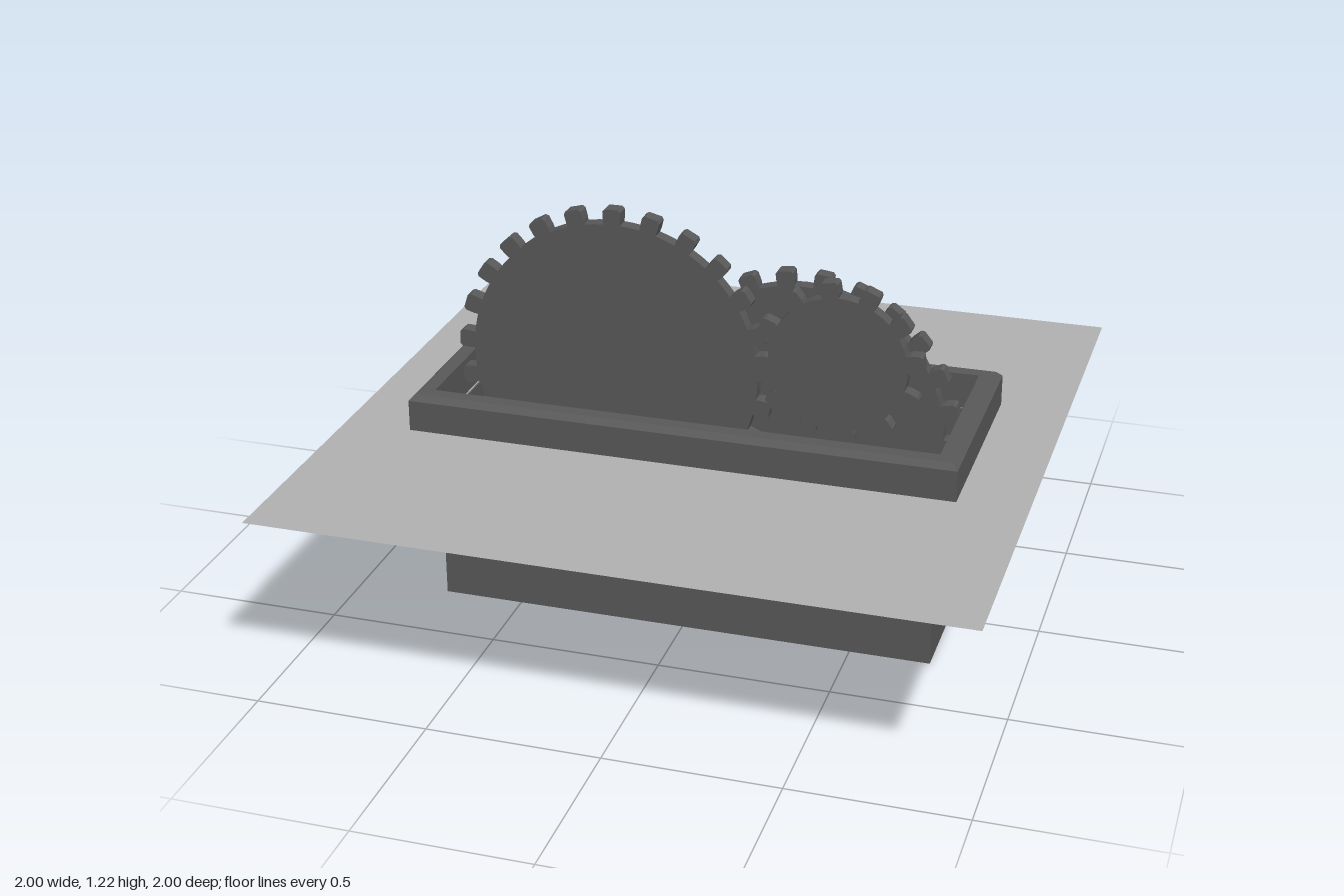
import * as THREE from 'three';

const dark = new THREE.MeshStandardMaterial({ color: 0x595959, side: THREE.DoubleSide });
dark.name = 'dark grey';
const light = new THREE.MeshStandardMaterial({ color: 0xb2b2b2, side: THREE.DoubleSide });
light.name = 'light grey';

const GROUND = 0.553;

function rect(target, w, d) {
  target.moveTo(-w, -d);
  target.lineTo(w, -d);
  target.lineTo(w, d);
  target.lineTo(-w, d);
  target.closePath();
  return target;
}

function add(group, name, geometry, material) {
  const mesh = new THREE.Mesh(geometry, material);
  mesh.name = name;
  group.add(mesh);
  return mesh;
}

// Gear disc with blocky teeth; phase is the angle of one tooth in degrees
function gearGeometry(root, tip, teeth, phase) {
  const shape = new THREE.Shape();
  const step = (Math.PI * 2) / teeth;
  const points = [];
  for (let i = 0; i < teeth; i++) {
    const a = THREE.MathUtils.degToRad(phase) + i * step;
    const half = 0.024;
    const profile = [
      [root, -half / root], [root + 0.012, -half * 1.05 / root], [tip - 0.007, -half * 1.1 / tip],
      [tip, -half * 0.8 / tip], [tip, half * 0.8 / tip], [tip - 0.007, half * 1.1 / tip],
      [root + 0.012, half * 1.05 / root], [root, half / root],
      [root, step / 2],
    ];
    for (const [r, t] of profile) points.push(new THREE.Vector2(r * Math.cos(a + t), r * Math.sin(a + t)));
  }
  shape.setFromPoints(points);
  const geo = new THREE.ExtrudeGeometry(shape, { depth: 0.042, bevelEnabled: false });
  geo.translate(0, 0, -0.021);
  return geo;
}

// Rectangular frame swept from its cross-section, with a chamfered outer top edge
function rimGeometry() {
  const profile = [ // half width, half depth, height
    [0.74, 0.275, GROUND - 0.002], [0.8, 0.333, GROUND - 0.002], [0.8, 0.333, 0.645],
    [0.783, 0.316, 0.662], [0.74, 0.275, 0.662], [0.74, 0.275, GROUND - 0.002],
  ];
  const corners = [[1, 1], [1, -1], [-1, -1], [-1, 1]];
  const pos = [];
  for (let c = 0; c < 4; c++) {
    for (let i = 0; i < profile.length - 1; i++) {
      const at = (k, p) => [corners[k % 4][0] * p[0], p[2], corners[k % 4][1] * p[1]];
      const a = at(c, profile[i]), b = at(c + 1, profile[i]);
      const d = at(c, profile[i + 1]), e = at(c + 1, profile[i + 1]);
      pos.push(...a, ...b, ...e, ...a, ...e, ...d);
    }
  }
  const geo = new THREE.BufferGeometry();
  geo.setAttribute('position', new THREE.Float32BufferAttribute(pos, 3));
  geo.computeVertexNormals();
  return geo;
}

export function createModel() {
  const model = new THREE.Group();
  model.name = 'gearPit';

  // Ground sheet with an opening for the pit
  const sheet = rect(new THREE.Shape(), 1, 1);
  sheet.holes.push(rect(new THREE.Path(), 0.737, 0.273));
  const ground = add(model, 'groundSheet', new THREE.ShapeGeometry(sheet), light);
  ground.rotation.x = -Math.PI / 2;
  ground.position.y = GROUND;

  // Open pit: four walls and a floor
  const wallShape = rect(new THREE.Shape(), 0.735, 0.271);
  wallShape.holes.push(rect(new THREE.Path(), 0.73, 0.266));
  const walls = add(model, 'pitWalls',
    new THREE.ExtrudeGeometry(wallShape, { depth: GROUND, bevelEnabled: false }), dark);
  walls.rotation.x = -Math.PI / 2;
  const floor = add(model, 'pitFloor', new THREE.BoxGeometry(1.462, 0.005, 0.534), dark);
  floor.position.y = 0.0025;

  add(model, 'rim', rimGeometry(), dark);

  // Two meshing pairs, one behind the other
  const gears = [
    ['frontLargeGear', -0.24, 0.75, 0.125, 0.425, 0.47, 25, 90],
    ['frontSmallGear', 0.415, 0.83, 0.125, 0.2, 0.245, 12, 97],
    ['backLargeGear', 0.25, 0.525, -0.125, 0.425, 0.47, 25, 97],
    ['backSmallGear', -0.345, 0.785, -0.125, 0.2, 0.245, 12, 90],
  ];
  for (const [name, x, y, z, root, tip, teeth, phase] of gears) {
    add(model, name, gearGeometry(root, tip, teeth, phase), dark).position.set(x, y, z);
  }
  return model;
}
